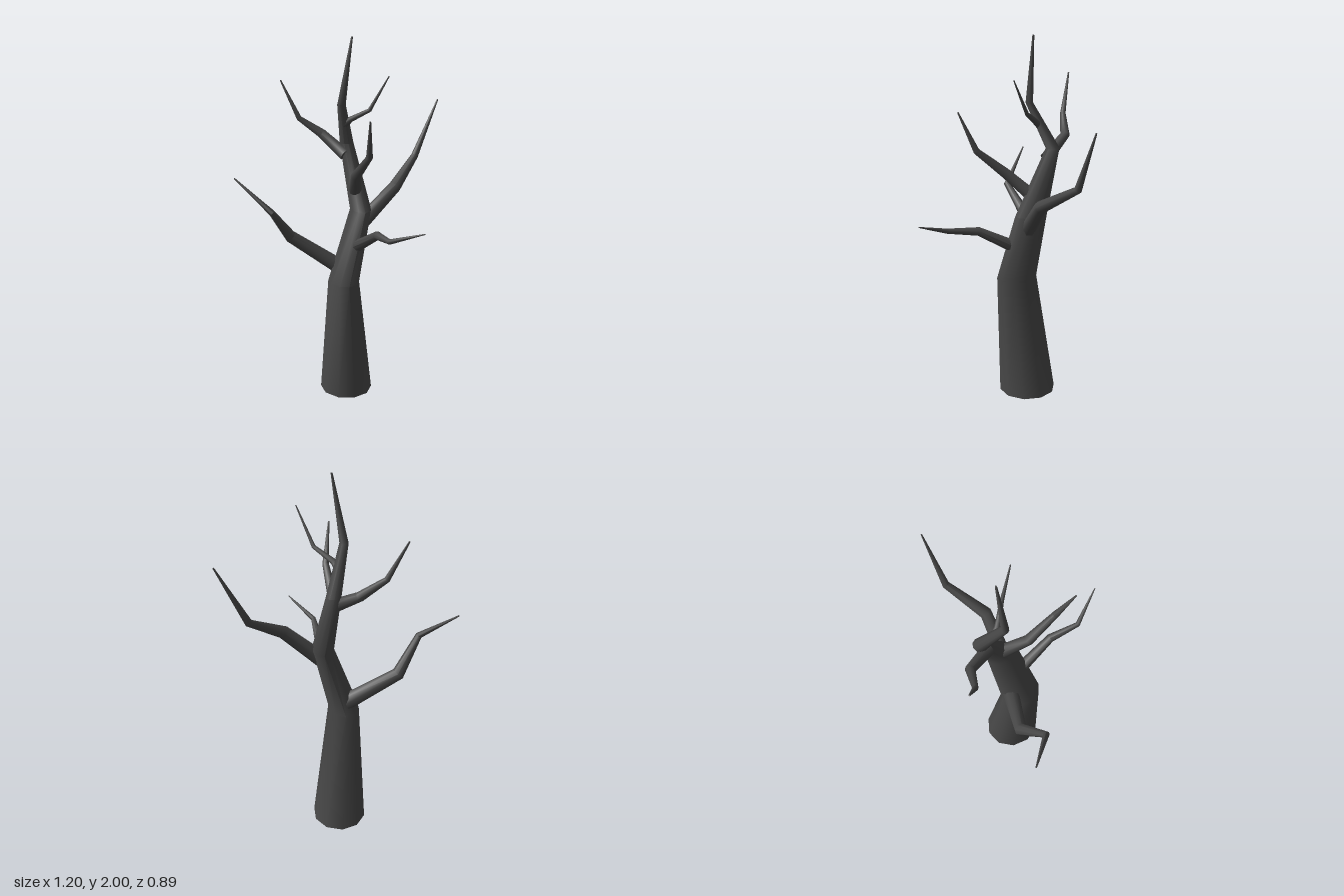
import * as THREE from 'three';
import { toCreasedNormals } from 'three/addons/utils/BufferGeometryUtils.js';

const UP = new THREE.Vector3(0, 1, 0);
const bark = new THREE.MeshStandardMaterial({ color: 0x484848 });

// Closed tapering limb. Each row is [x, y, z, radius, optional z radius].
// Level rings stay horizontal, others turn to follow the path.
function limb(name, rows, sides, level = false) {
  const pts = rows.map(r => new THREE.Vector3(r[0], r[1], r[2]));
  const last = rows.length - 1;
  const pos = [], index = [];
  rows.forEach(([, , , rx, rz = rx], i) => {
    const tangent = new THREE.Vector3();
    if (i > 0) tangent.add(pts[i].clone().sub(pts[i - 1]).normalize());
    if (i < last) tangent.add(pts[i + 1].clone().sub(pts[i]).normalize());
    const q = new THREE.Quaternion();
    if (!level) q.setFromUnitVectors(UP, tangent.normalize());
    for (let s = 0; s < sides; s++) {
      const a = ((s + 0.5) / sides) * Math.PI * 2;
      const v = new THREE.Vector3(Math.cos(a) * rx, 0, Math.sin(a) * rz);
      pos.push(...v.applyQuaternion(q).add(pts[i]).toArray());
    }
  });
  const bottom = rows.length * sides, top = bottom + 1;
  pos.push(...pts[0].toArray(), ...pts[last].toArray());
  for (let s = 0; s < sides; s++) {
    const n = (s + 1) % sides;
    for (let i = 0; i < last; i++) {
      const a = i * sides + s, b = i * sides + n;
      index.push(a, a + sides, b, b, a + sides, b + sides);
    }
    index.push(bottom, s, n, top, last * sides + n, last * sides + s);
  }
  const geo = new THREE.BufferGeometry();
  geo.setAttribute('position', new THREE.Float32BufferAttribute(pos, 3));
  geo.setIndex(index);
  const mesh = new THREE.Mesh(toCreasedNormals(geo, 0.85), bark);
  mesh.name = name;
  return mesh;
}

export function createModel() {
  const tree = new THREE.Group();
  tree.name = 'bareTree';

  // Trunk, bending and narrowing to the top twig
  tree.add(limb('trunk', [
    [-0.01, 0, -0.17, 0.145, 0.157],
    [-0.04, 0.68, -0.11, 0.083, 0.11],
    [0.075, 1.07, -0.16, 0.056, 0.085],
    [0.033, 1.42, -0.28, 0.038, 0.037],
    [-0.03, 1.65, -0.167, 0.023, 0.02],
    [0.03, 2, -0.17, 0.005],
  ], 10, true));

  // Branches, each with two elbows and a pointed end
  const branches = {
    lowLeftwardBranch: [[-0.04, 0.74, -0.17, 0.046], [-0.31, 0.93, -0.222, 0.034],
      [-0.43, 1.1, -0.13, 0.018], [-0.6, 1.27, -0.26, 0.004]],
    largeSideBranch: [[0.065, 0.985, -0.145, 0.042], [0.275, 1.18, -0.163, 0.034],
      [0.447, 1.315, -0.305, 0.02], [0.595, 1.625, -0.34, 0.004]],
    lowFrontBranch: [[0.015, 0.87, -0.1, 0.034], [0.075, 1, 0.12, 0.023],
      [0.083, 1.015, 0.285, 0.014], [0.21, 1.09, 0.442, 0.003]],
    upperFrontBranch: [[0.045, 1.18, -0.16, 0.036], [0.008, 1.29, -0.035, 0.028],
      [0.03, 1.42, 0.12, 0.018], [0.003, 1.62, 0.21, 0.004]],
    upperBackBranch: [[0.015, 1.36, -0.25, 0.034], [-0.08, 1.46, -0.375, 0.026],
      [-0.205, 1.55, -0.393, 0.015], [-0.293, 1.755, -0.443, 0.004]],
    topTwig: [[0, 1.53, -0.22, 0.02], [0.025, 1.565, -0.185, 0.016],
      [0.113, 1.62, -0.125, 0.011], [0.19, 1.805, -0.04, 0.003]],
  };
  for (const [name, rows] of Object.entries(branches)) tree.add(limb(name, rows, 8));

  return tree;
}
